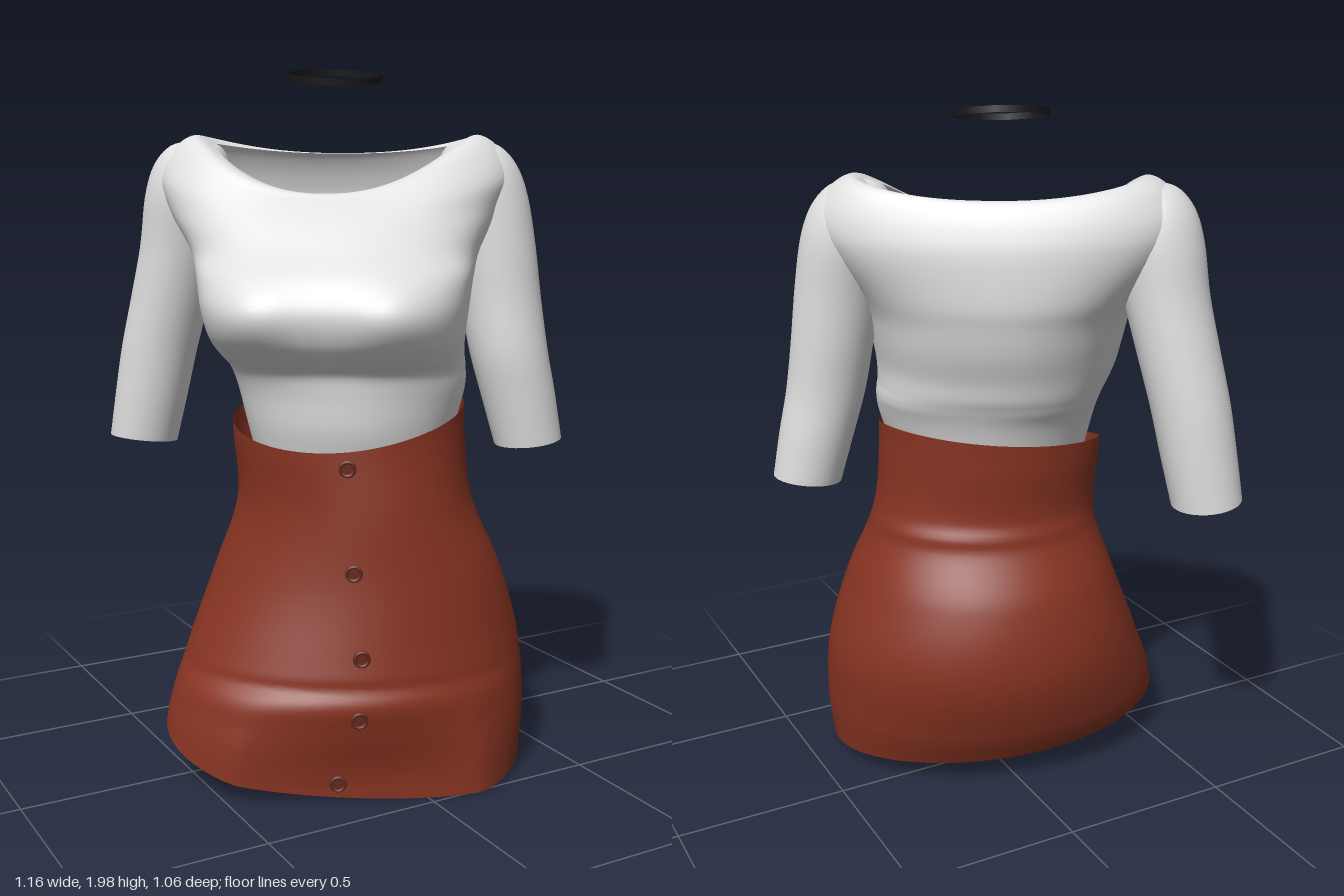
import * as THREE from 'three';

const mat = (name, color, side = THREE.DoubleSide) => {
  const m = new THREE.MeshStandardMaterial({ color, side });
  m.name = name;
  return m;
};

// Smooth interpolation of table rows; t counts rows
function sample(table, t) {
  const n = table.length - 1;
  const i = Math.max(0, Math.min(n - 1, Math.floor(t)));
  const f = Math.max(0, Math.min(1, t - i));
  const [p, a, b, q] = [i - 1, i, i + 1, i + 2].map(k => table[Math.max(0, Math.min(n, k))]);
  return a.map((v, k) => v + 0.5 * f * (b[k] - p[k]
    + f * (2 * p[k] - 5 * v + 4 * b[k] - q[k] + f * (3 * (v - b[k]) + q[k] - p[k]))));
}

// Closed-loop surface: point(angle, v), v running upwards from 0 to 1
function loft(point, around, rows) {
  const pos = [], idx = [];
  for (let j = 0; j <= rows; j++)
    for (let i = 0; i < around; i++) pos.push(...point(i / around * Math.PI * 2, j / rows));
  for (let j = 0; j < rows; j++)
    for (let i = 0; i < around; i++) {
      const a = j * around + i, b = j * around + (i + 1) % around;
      idx.push(a, a + around, b, b, a + around, b + around);
    }
  const g = new THREE.BufferGeometry();
  g.setAttribute('position', new THREE.Float32BufferAttribute(pos, 3));
  g.setIndex(idx);
  g.computeVertexNormals();
  return g;
}

const gauss = (d, s) => Math.exp(-0.5 * (d / s) ** 2);

// Skirt: reach in eight directions (every 45 degrees from +x to +z), every 0.2 in height
const skirtReach = [
  [0.39, 0.54, 0.53, 0.54, 0.575, 0.45, 0.13, 0.25],
  [0.41, 0.56, 0.50, 0.54, 0.55, 0.458, 0.23, 0.31],
  [0.415, 0.536, 0.465, 0.475, 0.475, 0.416, 0.28, 0.337],
  [0.365, 0.475, 0.45, 0.415, 0.40, 0.35, 0.25, 0.28],
  [0.30, 0.38, 0.43, 0.39, 0.34, 0.283, 0.16, 0.175],
  [0.28, 0.355, 0.40, 0.385, 0.36, 0.283, 0.18, 0.16],
  [0.28, 0.355, 0.40, 0.385, 0.36, 0.29, 0.19, 0.17],
];
const hemHeight = [0.05, 0.04, 0.015, 0.055, 0.15, 0.16, 0.11, 0.08];
const rimHeight = [1.09, 1.06, 1.01, 0.97, 1.0, 1.04, 1.06, 1.09];

// Periodic wave through eight values: returns the value and its slope
function wave(values, th) {
  let h = 0, slope = 0;
  for (let k = 0; k <= 3; k++) {
    let c = 0, s = 0;
    values.forEach((v, i) => {
      c += v * Math.cos(k * i * Math.PI / 4) / (k ? 4 : 8);
      s += v * Math.sin(k * i * Math.PI / 4) / 4;
    });
    const damp = k === 3 ? 0.5 : 1;
    h += damp * (c * Math.cos(k * th) + s * Math.sin(k * th));
    slope += damp * k * (s * Math.cos(k * th) - c * Math.sin(k * th));
  }
  return [h, slope];
}

function skirtAt(th, y) {
  const [h, d] = wave(sample(skirtReach, y / 0.2), th);
  // Crease across the thighs and a fold at the back of the waist
  const front = Math.max(0, Math.cos(th - 2.3)) ** 2, back = Math.max(0, Math.cos(th - 5.4)) ** 2;
  const r = h - 0.008 * front * gauss(y - 0.34, 0.014) + 0.01 * front * gauss(y - 0.29, 0.03)
    + 0.01 * back * gauss(y - 0.79, 0.016);
  let x = r * Math.cos(th) - d * Math.sin(th), z = r * Math.sin(th) + d * Math.cos(th);
  // Cloth stretched flat between the thighs near the hem
  const over = Math.max(0, -0.38 * x + 0.925 * z - 0.425);
  const flat = 0.85 * over * (1 - THREE.MathUtils.smoothstep(y, 0.05, 0.38));
  return [x + 0.38 * flat, y, z - 0.925 * flat];
}

function skirtPoint(th, v) {
  const lo = wave(hemHeight, th)[0], hi = wave(rimHeight, th)[0];
  return skirtAt(th, lo + (hi - lo) * v);
}

// Top, in the turned frame of the chest: front, side and back height,
// sideways centre, half width, front and back depth, roundness of the front
const topRows = [
  [0.92, 0.92, 0.92, 0.03, 0.27, 0.33, -0.10, 1],
  [1.02, 1.02, 1.02, 0.03, 0.295, 0.36, -0.13, 1],
  [1.12, 1.12, 1.12, 0.03, 0.32, 0.372, -0.16, 0.95],
  [1.18, 1.18, 1.18, 0.02, 0.33, 0.385, -0.185, 0.85],
  [1.215, 1.215, 1.215, 0.01, 0.337, 0.43, -0.20, 0.75],
  [1.27, 1.27, 1.27, 0, 0.35, 0.475, -0.215, 0.65],
  [1.35, 1.35, 1.35, -0.005, 0.365, 0.49, -0.245, 0.62],
  [1.43, 1.43, 1.43, -0.01, 0.38, 0.455, -0.265, 0.66],
  [1.50, 1.50, 1.50, -0.02, 0.405, 0.385, -0.278, 0.78],
  [1.57, 1.60, 1.62, -0.03, 0.465, 0.315, -0.275, 0.85],
  [1.61, 1.70, 1.69, -0.03, 0.50, 0.27, -0.258, 0.9],
  [1.635, 1.78, 1.74, -0.03, 0.46, 0.24, -0.235, 0.9],
  [1.65, 1.815, 1.765, -0.03, 0.40, 0.222, -0.215, 0.9],
  [1.65, 1.79, 1.765, -0.03, 0.345, 0.20, -0.198, 0.9],
];
const turn = 0.62;
const toWorld = (u, y, w) => [
  u * Math.cos(turn) - w * Math.sin(turn), y, u * Math.sin(turn) + w * Math.cos(turn)];

function topPoint(th, v) {
  const [yF, yS, yB, cu, a, wF, wB, e] = sample(topRows, v * (topRows.length - 1));
  const c = Math.cos(th), s = Math.sin(th);
  const y = yS * c * c + (s > 0 ? yF : yB) * s * s;
  const power = s > 0 ? e : Math.max(e, 0.88);
  const round = x => Math.sign(x) * Math.abs(x) ** power;
  const u = cu + a * round(c);
  let w = (wF + wB) / 2 + (wF - wB) / 2 * round(s);
  // Two sides of the bust
  if (s > 0) w += 0.04 * s * gauss(y - 1.34, 0.07) * (gauss(u - 0.19, 0.09) + gauss(u + 0.2, 0.09));
  // Shoulders drawn back, the left one further
  w -= (0.05 * c * c + 0.035 * c) * THREE.MathUtils.smoothstep(y, 1.4, 1.66);
  return toWorld(u, y, w);
}

// Sleeves, from cuff to rounded shoulder: x, y, z, radius
const leftSleeve = [
  [0.48, 0.935, 0.24, 0.098], [0.45, 1.07, 0.23, 0.107], [0.42, 1.2, 0.22, 0.113],
  [0.402, 1.35, 0.20, 0.117], [0.385, 1.5, 0.183, 0.122], [0.365, 1.64, 0.16, 0.127],
  [0.35, 1.73, 0.148, 0.112], [0.34, 1.785, 0.14, 0.072], [0.335, 1.805, 0.138, 0.004],
];
const rightSleeve = [
  [-0.46, 0.92, -0.43, 0.1], [-0.44, 1.06, -0.408, 0.107], [-0.42, 1.2, -0.385, 0.112],
  [-0.395, 1.35, -0.352, 0.116], [-0.372, 1.5, -0.318, 0.12], [-0.357, 1.64, -0.29, 0.127],
  [-0.35, 1.73, -0.278, 0.11], [-0.343, 1.785, -0.27, 0.07], [-0.34, 1.8, -0.268, 0.004],
];
const sleevePoint = rows => (th, v) => {
  const [x, y, z, r] = sample(rows, v * (rows.length - 1));
  // The cuff edge tips slightly
  const tip = Math.sign(x) * 0.012 * Math.cos(th) * (1 - v) ** 4;
  return [x + r * Math.cos(th), y + tip, z + r * Math.sin(th)];
};

export function createModel() {
  const model = new THREE.Group();
  const white = mat('white cloth', 0xe0e0e0);
  const rust = mat('rust cloth', 0x883422);
  const buttonRed = mat('dark rust button', 0x64281b, THREE.FrontSide);
  const black = mat('black band', 0x1a181a);

  const add = (name, geometry, material, parent = model) => {
    const m = new THREE.Mesh(geometry, material);
    m.name = name;
    parent.add(m);
    return m;
  };

  add('skirt', loft(skirtPoint, 96, 80), rust);
  add('topBody', loft(topPoint, 96, 78), white);
  add('leftSleeve', loft(sleevePoint(leftSleeve), 32, 40), white);
  add('rightSleeve', loft(sleevePoint(rightSleeve), 32, 40), white);

  // Buttons down the front of the skirt
  const buttons = new THREE.Group();
  buttons.name = 'buttons';
  model.add(buttons);
  for (const [x, y] of [[-0.185, 0.935], [-0.18, 0.655], [-0.18, 0.43], [-0.2, 0.27], [-0.23, 0.075]]) {
    // Find the place on the cloth that lies at this x
    let th = 1.2;
    while (th < 3 && skirtAt(th, y)[0] > x) th += 0.005;
    const button = new THREE.Group();
    button.name = 'button';
    button.position.set(...skirtAt(th, y));
    button.rotation.y = Math.PI / 2 - th;
    buttons.add(button);
    add('buttonDisc', new THREE.CylinderGeometry(0.02, 0.022, 0.01, 16).rotateX(Math.PI / 2).translate(0, 0, 0.007), buttonRed, button);
    add('buttonRim', new THREE.TorusGeometry(0.019, 0.005, 6, 16).translate(0, 0, 0.012), buttonRed, button);
  }

  // Thin ten-sided neck band floating above the collar
  const band = add('neckBand', new THREE.CylinderGeometry(0.134, 0.134, 0.018, 10, 1, true), black);
  band.position.set(-0.045, 1.968, 0.025);
  band.rotation.set(0.16, 0, 0.06);

  return model;
}
